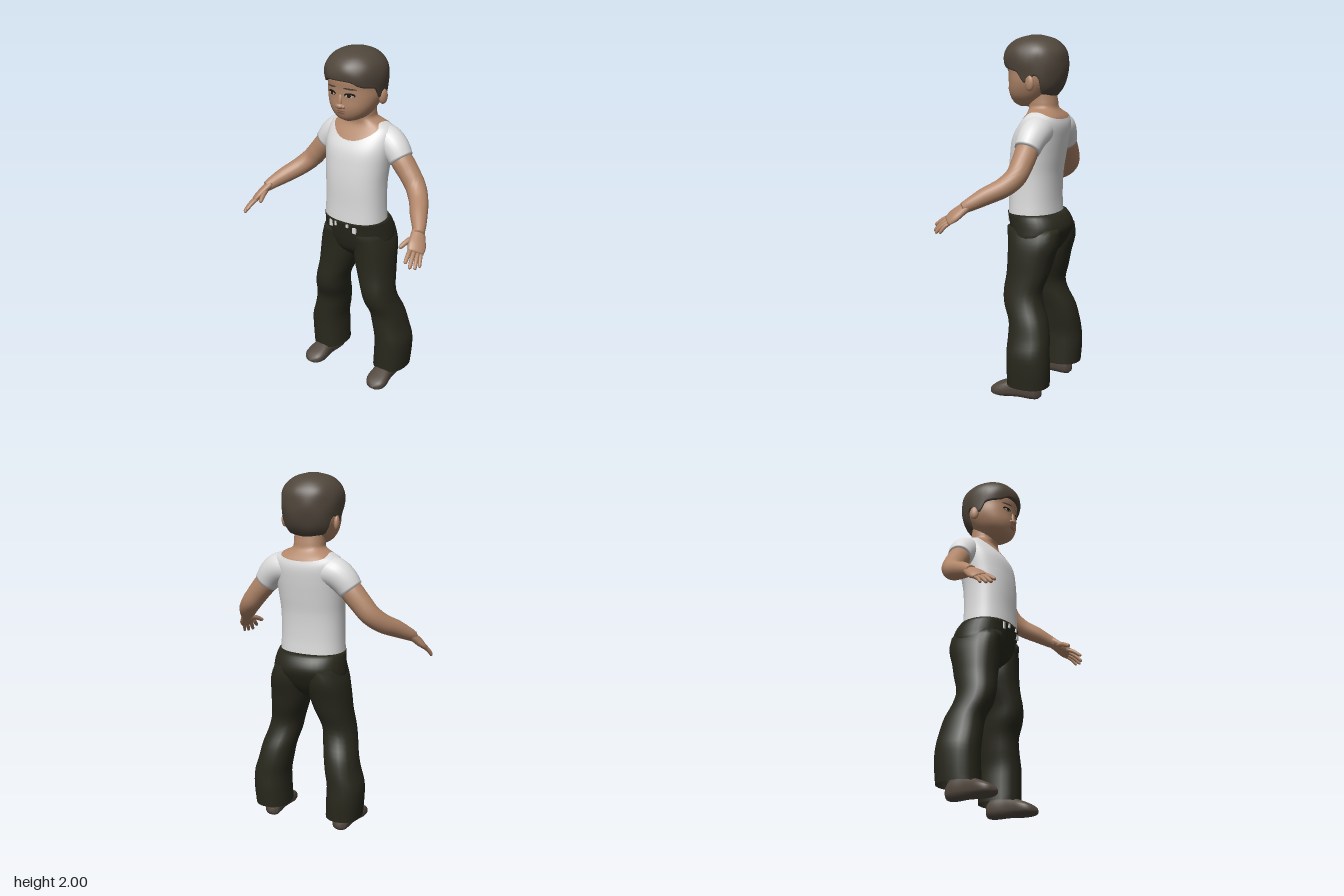
import * as THREE from 'three';

const mat = (name, color, side = THREE.FrontSide) => {
  const m = new THREE.MeshStandardMaterial({ color, side });
  m.name = name;
  return m;
};

// Closed-around surface: f(v, angle) -> Vector3, angle runs from front (+z) to +x
function surface(f, rows, seg, capStart = true, capEnd = true) {
  const pos = [], idx = [];
  const mid = [new THREE.Vector3(), new THREE.Vector3()];
  for (let i = 0; i <= rows; i++) {
    for (let j = 0; j < seg; j++) {
      const p = f(i / rows, (j / seg) * Math.PI * 2);
      pos.push(p.x, p.y, p.z);
      if (i === 0) mid[0].addScaledVector(p, 1 / seg);
      if (i === rows) mid[1].addScaledVector(p, 1 / seg);
    }
  }
  for (const m of mid) pos.push(m.x, m.y, m.z);
  const start = (rows + 1) * seg, top = rows * seg;
  for (let j = 0; j < seg; j++) {
    const k = (j + 1) % seg;
    for (let i = 0; i < rows; i++) {
      const a = i * seg + j, b = i * seg + k;
      idx.push(a, b, b + seg, a, b + seg, a + seg);
    }
    if (capStart) idx.push(start, k, j);
    if (capEnd) idx.push(start + 1, top + j, top + k);
  }
  const g = new THREE.BufferGeometry();
  g.setAttribute('position', new THREE.Float32BufferAttribute(pos, 3));
  g.setIndex(idx);
  g.computeVertexNormals();
  return g;
}

// Smooth lookup in a table whose first column is the key
function sample(t, y) {
  let i = 0;
  while (i < t.length - 2 && y > t[i + 1][0]) i++;
  const a = t[i], b = t[i + 1], p = t[i - 1] || a, n = t[i + 2] || b;
  const h = b[0] - a[0], s = Math.min(1, Math.max(0, (y - a[0]) / h));
  return a.map((_, c) => {
    const m0 = ((b[c] - p[c]) / (b[0] - p[0])) * h, m1 = ((n[c] - a[c]) / (n[0] - a[0])) * h;
    const s2 = s * s, s3 = s2 * s;
    return (2 * s3 - 3 * s2 + 1) * a[c] + (s3 - 2 * s2 + s) * m0 + (3 * s2 - 2 * s3) * b[c] + (s3 - s2) * m1;
  });
}

// Point on a body with horizontal sections [y, halfWidth, zFront, zBack, centreX]
function section(table, y, a, e = 2.3, k = 1) {
  const [, hw, zf, zb, cx = 0] = sample(table, y);
  const pw = (c) => Math.sign(c) * Math.abs(c) ** (2 / e);
  return new THREE.Vector3(cx + k * hw * pw(Math.sin(a)), y, (zf + zb) / 2 + (k * (zf - zb) / 2) * pw(Math.cos(a)));
}
const body = (table, rows, seg, e, c0, c1) => {
  const y0 = table[0][0], y1 = table[table.length - 1][0];
  return surface((v, a) => section(table, y0 + (y1 - y0) * v, a, e), rows, seg, c0, c1);
};

// Limb along points [x, y, z, radiusAlongRef, radiusAcross]
function limb(pts, ref = [0, 1, 0], rows = 16, seg = 14) {
  const curve = new THREE.CatmullRomCurve3(pts.map((p) => new THREE.Vector3(p[0], p[1], p[2])));
  const radii = pts.map((p, i) => [i / (pts.length - 1), p[3], p[4] ?? p[3]]);
  const r = new THREE.Vector3(...ref);
  return surface((v, a) => {
    const t = curve.getTangent(v), side = t.clone().cross(r).normalize(), up = side.clone().cross(t);
    const [, ra, rb] = sample(radii, v);
    return curve.getPoint(v).addScaledVector(up, Math.cos(a) * ra).addScaledVector(side, Math.sin(a) * rb);
  }, rows, seg);
}

function mirrored(geo) {
  const g = geo.clone().scale(-1, 1, 1), ix = g.index.array;
  for (let i = 0; i < ix.length; i += 3) [ix[i], ix[i + 1]] = [ix[i + 1], ix[i]];
  g.computeVertexNormals();
  return g;
}

const TORSO = [[1.02, .185, .078, -.2], [1.12, .18, .075, -.195], [1.25, .18, .075, -.2], [1.35, .188, .068, -.215],
  [1.45, .198, .05, -.23], [1.52, .2, .01, -.235], [1.565, .185, -.025, -.222], [1.59, .135, -.035, -.2],
  [1.61, .092, -.03, -.185], [1.64, .085, -.025, -.18], [1.7, .085, -.02, -.17]];
const HEAD = [[1.615, .03, .035, -.06], [1.63, .07, .06, -.1], [1.66, .105, .078, -.13], [1.7, .13, .088, -.165],
  [1.75, .147, .088, -.2], [1.8, .15, .09, -.215], [1.86, .15, .095, -.215], [1.92, .12, .07, -.18], [1.96, .06, .01, -.11]];
const HAIR = [[1.66, .11, .04, -.16], [1.72, .145, .075, -.208], [1.8, .16, .1, -.234], [1.87, .166, .118, -.236],
  [1.92, .155, .108, -.225], [1.96, .125, .075, -.192], [1.985, .085, .03, -.15], [2, .03, -.03, -.09]];
const HAIRLINE = [[0, 1.855], [25, 1.85], [42, 1.825], [62, 1.815], [76, 1.8], [83, 1.755], [95, 1.755], [102, 1.785],
  [114, 1.775], [124, 1.7], [145, 1.685], [180, 1.675]];
const HIPS = [[.78, .02, -.03, -.16], [.84, .15, .03, -.21], [.9, .205, .055, -.245], [.95, .205, .068, -.264],
  [1, .198, .078, -.25], [1.035, .19, .086, -.222]];
const LEG = [[.085, .1, 0, -.24, .225], [.2, .102, 0, -.246, .232], [.28, .101, 0, -.241, .232], [.36, .096, 0, -.235, .213],
  [.45, .094, .005, -.215, .195], [.53, .093, .04, -.18, .175], [.6, .092, .052, -.165, .162], [.7, .103, .045, -.195, .137],
  [.78, .112, .045, -.215, .122], [.88, .108, .05, -.245, .112], [.96, .09, .06, -.245, .1]];

export function createModel() {
  const skin = mat('skin', 0xb18669), hairMat = mat('hair', 0x50463b, THREE.DoubleSide);
  const shirt = mat('shirt', 0xdcdcdc, THREE.DoubleSide), trousers = mat('trousers', 0x28281d, THREE.DoubleSide);
  const shoe = mat('shoe', 0x51473e), dark = mat('eye dark', 0x1e1814), white = mat('eye white', 0xb5aaa0), lip = mat('lip', 0x936552);
  const model = new THREE.Group();
  const add = (name, geo, material) => {
    const m = new THREE.Mesh(geo, material);
    m.name = name;
    model.add(m);
  };
  const pair = (name, geo, material) => {
    add(name + 'Left', geo, material);
    add(name + 'Right', mirrored(geo), material);
  };

  // Shirt and the bare neck share one body, divided at a scooped neckline
  const neckline = (a) => {
    const c = Math.cos(a);
    return 1.593 - (c > 0 ? .093 * c ** 3 : .04 * c * c);
  };
  add('shirtBody', surface((v, a) => section(TORSO, 1.02 + (neckline(a) - 1.02) * v, a), 32, 48, true, false), shirt);
  add('neck', surface((v, a) => section(TORSO, neckline(a) + (1.7 - neckline(a)) * v, a), 14, 48, false, true), skin);
  pair('sleeve', limb([[.1, 1.495, -.135, .08], [.16, 1.492, -.135, .083], [.21, 1.458, -.13, .079], [.254, 1.403, -.125, .069]],
    [0, 0, 1], 14, 24), shirt);

  // Arms and hands
  pair('arm', limb([[.2, 1.46, -.13, .05], [.25, 1.405, -.126, .062], [.31, 1.335, -.122, .06], [.36, 1.275, -.11, .057],
    [.41, 1.225, -.065, .053], [.465, 1.18, .015, .047], [.51, 1.14, .08, .036], [.525, 1.122, .11, .03]], [0, 1, 0], 32, 20), skin);
  const tilt = [.5, 1, 0];
  pair('palm', limb([[.512, 1.138, .085, .026, .034], [.53, 1.11, .12, .023, .042], [.548, 1.08, .155, .021, .05],
    [.56, 1.055, .185, .014, .044]], tilt), skin);
  const finger = (x, y, z, tx, ty, tz, r) => limb([[x, y, z, r], [(x + tx) / 2, (y + ty) / 2 + .006, (z + tz) / 2, r],
    [tx, ty, tz, r * .75], [tx + (tx - x) * .06, ty + (ty - y) * .06, tz + (tz - z) * .06, r * .2]], tilt, 9, 10);
  [['thumb', .515, 1.11, .125, .483, 1.075, .215, .014], ['indexFinger', .53, 1.075, .18, .548, 1.025, .262, .012],
    ['middleFinger', .55, 1.062, .185, .572, 1.0, .255, .012], ['ringFinger', .568, 1.05, .178, .592, .993, .237, .011],
    ['littleFinger', .58, 1.045, .165, .602, .996, .208, .01]].forEach(([n, ...d]) => pair(n, finger(...d), skin));

  // Trousers and a few light gaps below the front waist
  add('trouserHips', body(HIPS, 18, 36, 2.2, true, true), trousers);
  pair('trouserLeg', body(LEG, 30, 22, 2.3, false, true), trousers);
  [[-.08, 1.005, .02, .04], [-.04, 1.015, .012, .025], [.04, 1.018, .014, .02], [.08, .995, .022, .035]].forEach(([x, y, w, h], i) => {
    const s = section(HIPS, y, Math.asin((Math.abs(x) / .195) ** 1.1));
    add('waistGap' + (i + 1), new THREE.BoxGeometry(w, h, .008).translate(x, y, s.z + .002), shirt);
  });

  // Shoes: sections run from heel to toe, with a flattened sole
  const SHOE = [[-.192, .012, .045, .02], [-.18, .04, .085, .008], [-.14, .05, .118, .003], [-.07, .05, .118, .004],
    [-.02, .056, .105, .002], [.03, .064, .085, 0], [.07, .058, .066, .004], [.095, .036, .048, .01], [.105, .01, .032, .02]];
  pair('shoe', surface((v, a) => {
    const z = -.192 + .297 * v, [, w, t, b] = sample(SHOE, z);
    const c = Math.cos(a), s = Math.sin(a), pw = (n) => Math.sign(n) * Math.abs(n) ** .75;
    return new THREE.Vector3(.228 + z * .06 - w * pw(s), (t + b) / 2 + ((t - b) / 2) * pw(c), z);
  }, 26, 20), shoe);
  pair('ankle', new THREE.CylinderGeometry(.042, .042, .2, 16).translate(.22, .18, -.11), skin);

  // Head
  add('head', body(HEAD, 40, 48, 2.2, true, true), skin);
  pair('ear', new THREE.SphereGeometry(1, 16, 12).scale(.016, .042, .028).rotateY(-.3).translate(.152, 1.748, -.09), skin);
  add('noseTip', new THREE.SphereGeometry(1, 18, 12).scale(.024, .016, .022).translate(0, 1.712, .088), skin);
  add('noseBridge', new THREE.SphereGeometry(1, 16, 12).scale(.013, .04, .012).rotateX(-.15).translate(0, 1.74, .088), skin);
  pair('nostrilWing', new THREE.SphereGeometry(1, 12, 8).scale(.012, .011, .014).translate(.02, 1.709, .085), skin);

  // Hair with fringe, sideburns and nape, tucked in at its lower edge
  add('hair', surface((v, a) => {
    const deg = Math.abs(((a * 180 / Math.PI + 180) % 360) - 180);
    const low = sample(HAIRLINE, deg)[1], t = Math.max(0, (v - .04) / .96);
    const y = low + (2 - low) * (1 - (1 - t) ** 1.5);
    const lumps = 1 + .008 * Math.sin(a * 7) * Math.sin(y * 40);
    return section(HAIR, y, a, 2.15, v === 0 ? .88 : lumps);
  }, 28, 72, false, true), hairMat);

  // Painted face details laid on the curve of the head
  const faceZ = (x, y) => {
    const [, hw, zf, zb] = sample(HEAD, y);
    return (zf + zb) / 2 + ((zf - zb) / 2) * (1 - (Math.abs(x) / hw) ** 2.2) ** (1 / 2.2);
  };
  const patch = (x, y, rx, ry, lift, turn = 0) => {
    const g = new THREE.CircleGeometry(1, 24).scale(rx, ry, 1).rotateZ(turn).translate(x, y, 0), p = g.attributes.position;
    for (let i = 0; i < p.count; i++) p.setZ(i, faceZ(p.getX(i), p.getY(i)) + lift);
    g.computeVertexNormals();
    return g;
  };
  pair('eyebrow', patch(.06, 1.81, .036, .005, .003, -.08), hairMat);
  pair('eyeOutline', patch(.057, 1.776, .03, .013, .002), dark);
  pair('eyeWhite', patch(.057, 1.772, .024, .007, .0035), white);
  pair('iris', patch(.056, 1.774, .01, .009, .005), dark);
  add('upperLip', patch(0, 1.682, .03, .004, .003), lip);
  add('lowerLip', patch(0, 1.67, .026, .006, .003), lip);
  return model;
}
